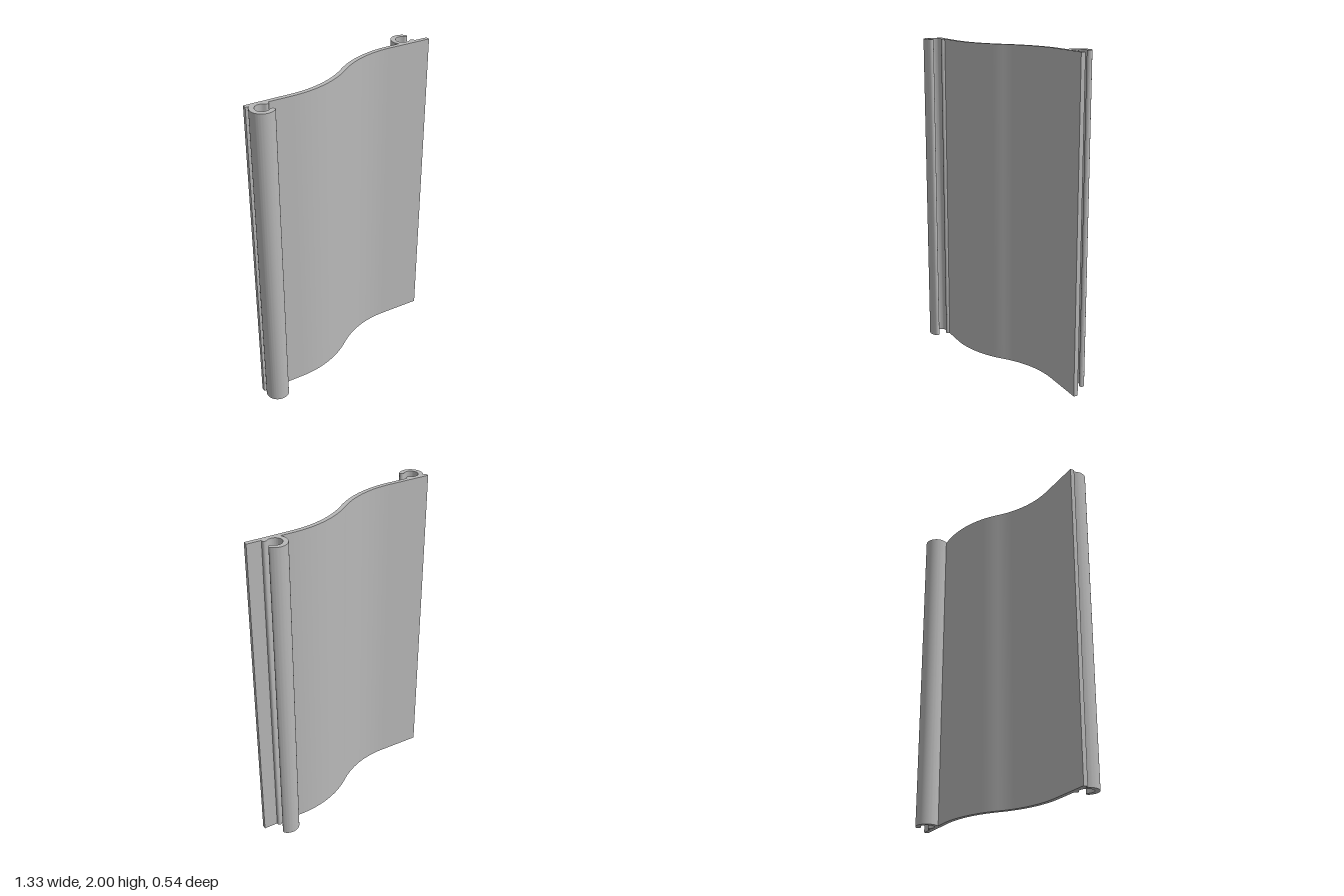
import * as THREE from 'three';
import { toCreasedNormals } from 'three/addons/utils/BufferGeometryUtils.js';

const HEIGHT = 2;
const HALF_WIDTH = 0.665;
const HALF_T = 0.0133;      // half the sheet thickness
const FLAT = 0.1415;        // offset of the flat flanges from the middle
const BEND_X = 0.39;        // where the flanges start to curve
const R = (BEND_X ** 2 + FLAT ** 2) / (2 * FLAT);
const SWEEP = Math.asin(BEND_X / R);

// Points along an arc, in either direction
function arc(cx, cy, r, from, to, steps) {
  return Array.from({ length: steps + 1 }, (_, i) => {
    const a = from + ((to - from) * i) / steps;
    return new THREE.Vector2(cx + r * Math.cos(a), cy + r * Math.sin(a));
  });
}

const reflect = (points) => points.map((p) => new THREE.Vector2(-p.x, -p.y));

// Lower edge of the S-shaped sheet, left to right
function wave() {
  const down = -Math.PI / 2;
  const left = arc(-BEND_X, R - FLAT, R + HALF_T, down, down + SWEEP, 24);
  const right = reflect(arc(-BEND_X, R - FLAT, R - HALF_T, down + SWEEP, down, 24));
  return [...left, ...right.slice(1)];
}

// C-shaped hook hanging below a flange, open towards +x
function hook(cx, cy, flip) {
  const outer = 0.072, inner = 0.043, lip = (outer - inner) / 2, mid = (outer + inner) / 2;
  const surface = 0.2 - FLAT - HALF_T;
  const q = Math.PI / 4, m = mid * Math.SQRT1_2;
  const points = [
    ...arc(0, 0, outer, Math.PI - Math.asin(surface / outer), 7 * q, 32),
    ...arc(m, -m, lip, -q, 3 * q, 10).slice(1),
    ...arc(0, 0, inner, 7 * q, q, 36).slice(1),
    ...arc(m, m, lip, -3 * q, Math.asin((surface - m) / lip), 10).slice(1),
  ];
  return points.map((p) => new THREE.Vector2(cx + p.x, cy + p.y * flip));
}

export function createModel() {
  const group = new THREE.Group();
  group.name = 'interlockingSlat';
  const metal = new THREE.MeshStandardMaterial({ color: 0xb8b8b8 });
  metal.name = 'greyMetal';

  // One closed section: lower edge with left hook, upper edge with right hook
  const edge = wave();
  const outline = [
    new THREE.Vector2(-HALF_WIDTH, -FLAT - HALF_T),
    ...hook(-0.59, -0.2, 1),
    ...edge,
    new THREE.Vector2(HALF_WIDTH, FLAT - HALF_T),
    new THREE.Vector2(HALF_WIDTH, FLAT + HALF_T),
    ...hook(0.524, 0.2, -1).reverse(),
    ...reflect(edge),
    new THREE.Vector2(-HALF_WIDTH, -FLAT + HALF_T),
  ];

  // Stand the extrusion upright
  const section = new THREE.ExtrudeGeometry(new THREE.Shape(outline), { depth: HEIGHT, bevelEnabled: false });
  section.rotateX(-Math.PI / 2);
  const slat = new THREE.Mesh(toCreasedNormals(section, 0.5), metal);
  slat.name = 'slatWithHooks';
  group.add(slat);
  return group;
}
